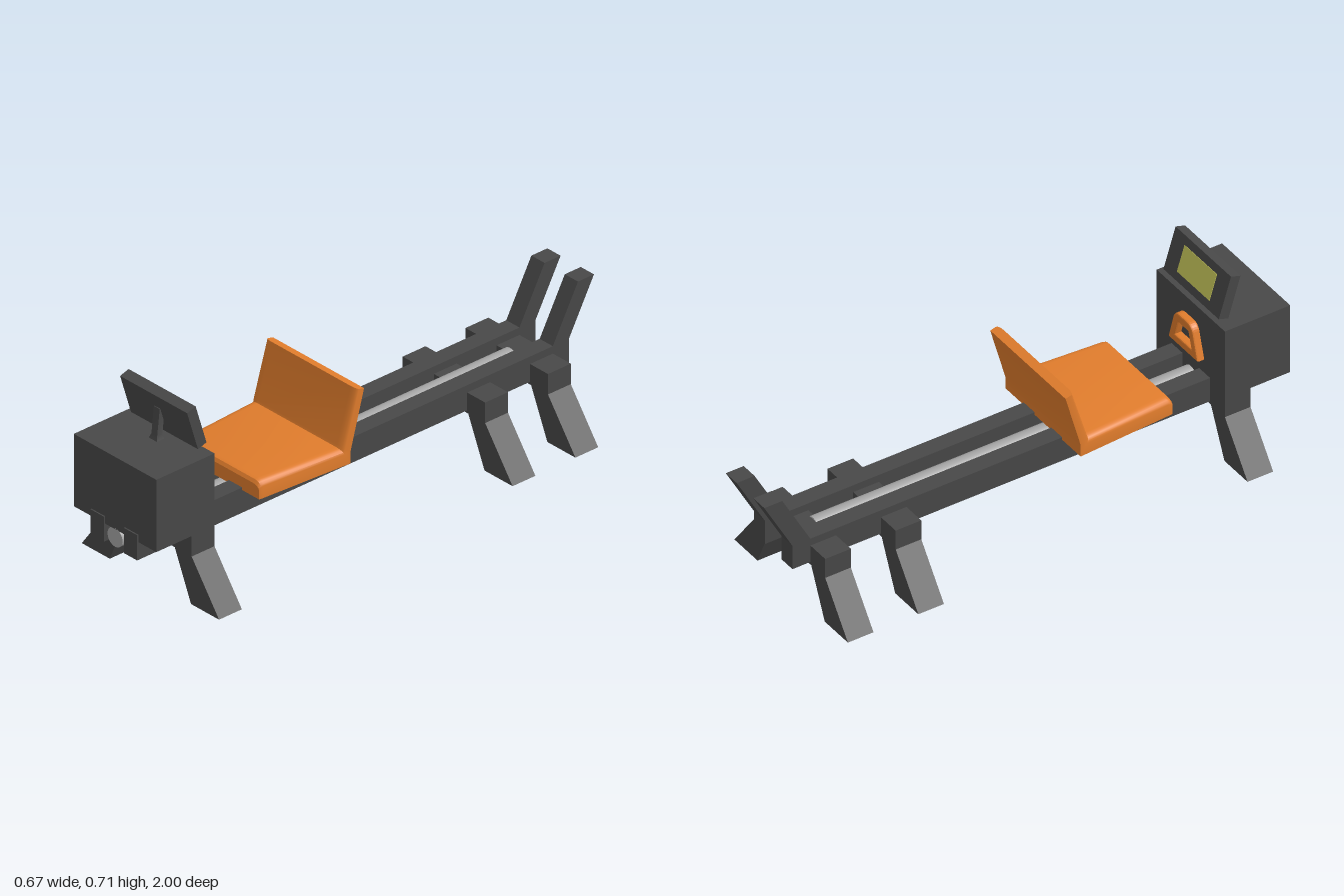
import * as THREE from 'three';
import { toCreasedNormals } from 'three/addons/utils/BufferGeometryUtils.js';

const material = (color) => new THREE.MeshStandardMaterial({ color });
const polygon = (points) => new THREE.Shape(points.map(([x, y]) => new THREE.Vector2(x, y)));

// Flat outline given thickness, centred on its own z
function slab(points, depth) {
  return new THREE.ExtrudeGeometry(polygon(points), { depth, bevelEnabled: false })
    .translate(0, 0, -depth / 2);
}

// Closed solid through rings of equal point count, capped at both ends
function loft(rings) {
  const n = rings[0].length;
  const index = [];
  for (let r = 0; r < rings.length - 1; r++) {
    for (let i = 0; i < n; i++) {
      const a = r * n + i, b = r * n + (i + 1) % n;
      index.push(a, b, b + n, a, b + n, a + n);
    }
  }
  const last = (rings.length - 1) * n;
  for (let i = 1; i < n - 1; i++) {
    index.push(0, i + 1, i, last, last + i, last + i + 1);
  }
  const geometry = new THREE.BufferGeometry();
  geometry.setAttribute('position', new THREE.Float32BufferAttribute(rings.flat(2), 3));
  geometry.setIndex(index);
  return toCreasedNormals(geometry, 0.6);
}

// Seat cross-section from the underside (z0, y0) to the padded face (z1, y1)
function seatRing([z0, y0, z1, y1, w]) {
  const half = [[w, 0], [w, 0.69]];
  for (let i = 1; i <= 4; i++) {
    const a = (i / 4) * Math.PI / 2;
    half.push([w - 0.03 * (1 - Math.cos(a)), 0.69 + 0.31 * Math.sin(a)]);
  }
  const mirrored = half.map(([x, t]) => [-x, t]).reverse();
  return [...half, ...mirrored].map(([x, t]) => [x, y0 + (y1 - y0) * t, z0 + (z1 - z0) * t]);
}

export function createModel() {
  const model = new THREE.Group();
  model.name = 'rowingMachine';
  const dark = material(0x484848);
  const orange = material(0xe07c2c);
  const steel = material(0xa6a6a6);
  const yellow = material(0xc8c85c);

  const add = (name, geometry, mat, x = 0, y = 0, z = 0, parent = model) => {
    const mesh = new THREE.Mesh(geometry, mat);
    mesh.name = name;
    mesh.position.set(x, y, z);
    parent.add(mesh);
    return mesh;
  };

  // Twin rails, each bent upward at the rear
  const railGeometry = slab([
    [1, 0.19], [1, 0.285], [-0.82, 0.285], [-0.93, 0.485],
    [-1, 0.485], [-0.89, 0.285], [-0.89, 0.19],
  ], 0.064).rotateY(-Math.PI / 2);
  add('leftRail', railGeometry, dark, 0.081);
  add('rightRail', railGeometry, dark, -0.081);

  // Central slide tube
  const tube = new THREE.CylinderGeometry(0.036, 0.036, 1.73, 32).rotateX(Math.PI / 2);
  add('slideTube', tube, steel, 0, 0.227, 0.13);

  // Splayed leg frames
  const legSide = [[0.2, 0.257], [0.2, 0.18], [0.333, 0], [0.197, 0], [0.118, 0.18]];
  const legOutline = [...legSide, ...legSide.map(([x, y]) => [-x, y]).reverse()];
  const legGeometry = slab(legOutline, 0.1);
  [['frontLegs', 0.79], ['middleLegs', -0.495], ['rearLegs', -0.77]]
    .forEach(([name, z]) => add(name, legGeometry, dark, 0, 0, z));

  // Resistance housing
  add('housing', new THREE.BoxGeometry(0.4, 0.272, 0.255), dark, 0, 0.393, 0.8675);

  // Seat and backrest, swept from the top of the back to the front edge
  add('seat', loft([
    [0.104, 0.535, 0.136, 0.543, 0.221],
    [0.163, 0.322, 0.196, 0.346, 0.221],
    [0.163, 0.275, 0.2, 0.338, 0.221],
    [0.525, 0.275, 0.52, 0.34, 0.197],
    [0.535, 0.275, 0.532, 0.336, 0.196],
    [0.54, 0.275, 0.54, 0.325, 0.194],
  ].map(seatRing)), orange);

  // Pull handle: rounded trapezoid ring
  const grip = new THREE.Shape();
  grip.moveTo(-0.08, -0.058);
  grip.lineTo(0.08, -0.058);
  grip.lineTo(0.052, 0.036);
  grip.quadraticCurveTo(0.045, 0.058, 0.022, 0.058);
  grip.lineTo(-0.022, 0.058);
  grip.quadraticCurveTo(-0.045, 0.058, -0.052, 0.036);
  grip.closePath();
  grip.holes.push(polygon([[-0.054, -0.036], [-0.034, 0.034], [0.034, 0.034], [0.054, -0.036]]));
  const gripGeometry = new THREE.ExtrudeGeometry(grip, {
    depth: 0.018, bevelThickness: 0.006, bevelSize: 0.005, bevelSegments: 2, curveSegments: 6,
  });
  add('pullHandle', gripGeometry, orange, 0, 0.407, 0.714);

  // Monitor tilted toward the user, with its screen
  const monitor = new THREE.Group();
  monitor.name = 'monitor';
  monitor.position.set(0, 0.626, 0.7835);
  monitor.rotation.x = 0.3;
  model.add(monitor);
  add('monitorCase', new THREE.BoxGeometry(0.325, 0.161, 0.039), dark, 0, 0, 0, monitor);
  add('screen', new THREE.BoxGeometry(0.19, 0.1, 0.004), yellow, 0, 0, -0.019, monitor);

  // Monitor stem with flared foot
  const stemRing = ([y, w, z0, z1]) => [[-w, y, z0], [w, y, z0], [w, y, z1], [-w, y, z1]];
  add('monitorStem', loft([
    [0.643, 0.014, 0.79, 0.812],
    [0.545, 0.014, 0.8, 0.823],
    [0.528, 0.02, 0.797, 0.83],
  ].map(stemRing)), dark);

  return model;
}
